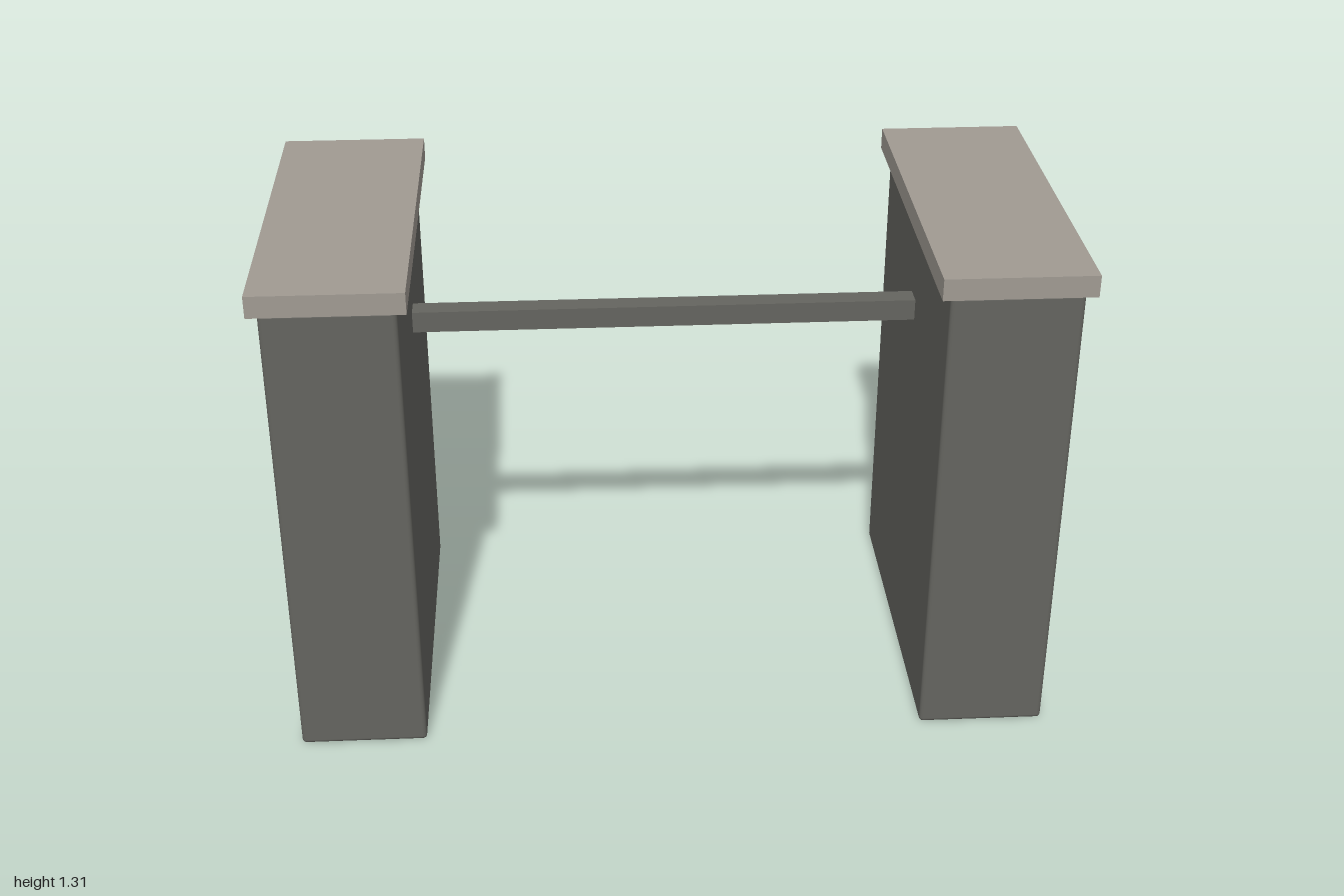
import * as THREE from 'three';
import { RoundedBoxGeometry } from 'three/addons/geometries/RoundedBoxGeometry.js';

export function createModel() {
  const model = new THREE.Group();
  model.name = 'pillarsWithCrossbar';

  const darkStone = new THREE.MeshStandardMaterial({ color: 0x64645f });
  darkStone.name = 'dark stone';
  const paleStone = new THREE.MeshStandardMaterial({ color: 0xa09a92 });
  paleStone.name = 'pale stone';

  const add = (name, geometry, material, x, y) => {
    const mesh = new THREE.Mesh(geometry, material);
    mesh.name = name;
    mesh.position.set(x, y, 0);
    model.add(mesh);
  };

  // Pillars with softened edges, each under an overhanging cap slab
  const pillar = new RoundedBoxGeometry(0.325, 1.25, 0.934, 2, 0.011);
  const cap = new THREE.BoxGeometry(0.373, 0.056, 0.97);
  for (const [side, sign] of [['left', 1], ['right', -1]]) {
    add(side + 'Pillar', pillar, darkStone, sign * 0.8135, 0.625);
    add(side + 'Cap', cap, paleStone, sign * 0.8135, 1.278);
  }

  // Square crossbar between the inner pillar faces
  add('crossbar', new THREE.BoxGeometry(1.31, 0.056, 0.056), darkStone, 0, 1.003);

  return model;
}
